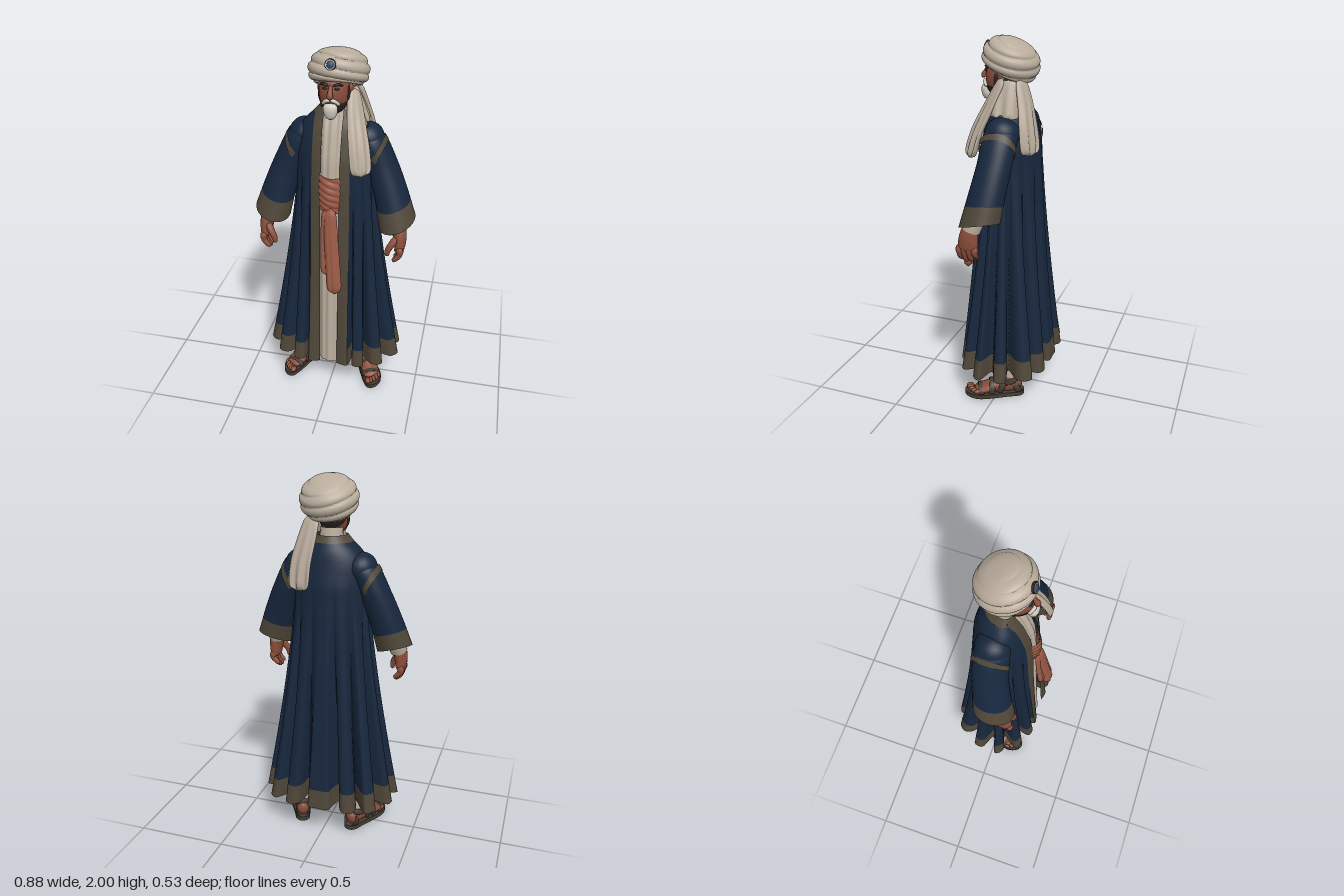
import * as THREE from 'three';
import { mergeVertices } from 'three/addons/utils/BufferGeometryUtils.js';

const mat = (name, color) => new THREE.MeshStandardMaterial({ name, color, side: THREE.DoubleSide });
const V = (x, y, z) => new THREE.Vector3(x, y, z);
const lerp = THREE.MathUtils.lerp;

// Smooth surface from a function of (u, v), both 0..1
function grid(fn, nu, nv) {
  const pos = [], idx = [];
  for (let j = 0; j <= nv; j++) for (let i = 0; i <= nu; i++) pos.push(...fn(i / nu, j / nv).toArray());
  for (let j = 0; j < nv; j++) for (let i = 0; i < nu; i++) {
    const a = j * (nu + 1) + i, b = a + nu + 1;
    idx.push(a, a + 1, b, a + 1, b + 1, b);
  }
  let g = new THREE.BufferGeometry();
  g.setAttribute('position', new THREE.Float32BufferAttribute(pos, 3));
  g.setIndex(idx);
  g = mergeVertices(g, 1e-5);
  g.computeVertexNormals();
  return g;
}

// Oval tube through points [x, y, z, r1, r2]; r2 lies along ref, r1 across it; slant lowers the front of the far end
function loft(pts, { ref = V(0, 0, 1), v0 = 0, v1 = 1, rip = 0, slant = 0, cap = true, nu = 20, nv = 20 } = {}) {
  const path = new THREE.CatmullRomCurve3(pts.map(p => V(p[0], p[1], p[2])));
  const radii = new THREE.CatmullRomCurve3(pts.map(p => V(p[3], p[4] ?? p[3], 0)));
  return grid((u, s) => {
    const v = lerp(v0, v1, s), T = path.getTangent(v), r = radii.getPoint(v), th = u * Math.PI * 2;
    const n1 = ref.clone().cross(T).normalize(), n2 = T.clone().cross(n1);
    const k = cap ? Math.sqrt(Math.max(0, 1 - Math.abs(2 * v - 1) ** 12)) : 1;
    const c = Math.cos(th);
    const off = n1.multiplyScalar(c * r.x * k)
      .addScaledVector(n2, (Math.sin(th) * r.y + rip * v * r.x * Math.sin(8 * c)) * k);
    off.y -= slant * v * v * off.z;
    return path.getPoint(v).add(off);
  }, nu, nv);
}

// Half outline of the pleated hem [x, z], from the front opening to the middle of the back
const hemPoints = [
  [.05, .212], [.08, .222], [.115, .222], [.13, .13], [.143, .212], [.17, .224], [.205, .21], [.192, .12],
  [.245, .175], [.285, .178], [.312, .155], [.26, .065], [.35, .085], [.387, .04], [.28, 0], [.375, -.05],
  [.365, -.105], [.235, -.08], [.305, -.155], [.31, -.2], [.27, -.235], [.235, -.2], [.18, -.12],
  [.205, -.21], [.195, -.257], [.145, -.268], [.115, -.23], [.1, -.135], [.068, -.225], [.06, -.266], [0, -.27]];
const hem = new THREE.CatmullRomCurve3(hemPoints.map(([x, z]) => V(x, 0, z)));
const EDGE = 1 - 2 / (hemPoints.length - 1);

// Torso ovals: height, half width, front depth, back depth
const rows = [[.19, .195, .15, .175], [1.3, .195, .15, .175], [1.45, .205, .138, .17], [1.55, .2, .11, .15],
  [1.62, .165, .088, .135], [1.66, .12, .065, .115], [1.7, .085, .05, .09]];
function oval(y) {
  let i = 0;
  while (i < rows.length - 2 && y > rows[i + 1][0]) i++;
  const t = (y - rows[i][0]) / (rows[i + 1][0] - rows[i][0]);
  return rows[i].map((r, j) => lerp(r, rows[i + 1][j], t));
}
const flare = y => Math.max(0, (1.5 - y) / 1.31) ** 1.35;

// Coat angle from the opening to the back: the edge band keeps its width at every height
function coatAngle(k, rx) {
  const p0 = Math.asin(.05 / rx), p1 = Math.asin(Math.min(.9, .1 / rx)), e = 1 - EDGE;
  return k < e ? lerp(p0, p1, k / e) : lerp(p1, Math.PI, (k - e) / EDGE);
}

// Coat cloth between a0..a1 (-1 and 1 are the opening edges, 0 the back) and y0..y1
function coat(a0, a1, y0, y1, nu, nv) {
  return grid((u, v) => {
    const a = lerp(a0, a1, u), y = lerp(y0, y1, v), k = 1 - Math.abs(a);
    const [, rx, zf, zb] = oval(y), h = hem.getPoint(k), f = flare(y);
    const phi = coatAngle(k, rx), c = Math.cos(phi);
    const x = lerp(rx * Math.sin(phi), h.x, f), z = lerp(c * (c > 0 ? zf : zb), h.z, f);
    return V(Math.sign(a) * x, y, z);
  }, nu, nv);
}

export function createModel() {
  const root = new THREE.Group();
  const navy = mat('navy cloth', 0x17273d), trim = mat('brown trim', 0x4f4638), cream = mat('cream cloth', 0xb9ac9c),
    skin = mat('skin', 0x8b4d3a), sashM = mat('terracotta cloth', 0x9a5945), leather = mat('dark leather', 0x423c33),
    hair = mat('dark hair', 0x2c2622), white = mat('white hair', 0xcfc8bf), blue = mat('blue gem', 0x2c4a70);
  const add = (name, geo, m, parent = root) => {
    const o = new THREE.Mesh(geo, m);
    o.name = name;
    parent.add(o);
    return o;
  };
  const ball = (name, m, [x, y, z], [a, b, c], parent = root) => {
    const o = add(name, new THREE.SphereGeometry(1, 24, 16), m, parent);
    o.position.set(x, y, z);
    o.scale.set(a, b, c);
    return o;
  };

  // Long open coat with brown edges
  add('coatBody', coat(-EDGE, EDGE, .3, 1.665, 280, 48), navy);
  add('coatHem', coat(-EDGE, EDGE, .19, .3, 280, 4), trim);
  add('coatCollar', coat(-EDGE, EDGE, 1.665, 1.7, 60, 4), trim);
  add('coatEdgeLeft', coat(EDGE, 1, .19, 1.7, 8, 50), trim);
  add('coatEdgeRight', coat(-1, -EDGE, .19, 1.7, 8, 50), trim);

  // Inner robe seen in the opening, with a standing collar
  add('innerRobe', grid((u, v) => {
    const y = lerp(.185, 1.715, v), a = lerp(-.85, .85, u), [, rx, zf] = oval(Math.min(y, 1.7)), f = flare(y);
    const fold = .004 * Math.cos(a * 16);
    return V(Math.sin(a) * Math.min(.105, rx * .9), y, Math.cos(a) * (lerp(zf, .208, f) - .008 + fold));
  }, 40, 40), cream);
  add('robeCollar', loft([[0, 1.62, -.02, .066], [0, 1.68, -.016, .063], [0, 1.735, -.012, .058]], { cap: false }), cream);

  // Sash wrapped round the waist in slanting pleats
  add('sashWrap', grid((u, v) => {
    const a = lerp(-1, 1, u), y = lerp(1.165, 1.37, v) - .008 * a;
    const pleat = .006 * Math.abs(Math.sin(Math.PI * (5.5 * v + .5 * a)));
    const bulge = .012 * Math.sin(Math.PI * v);
    return V(.07 * a, y, .163 + bulge + pleat - .045 * a * a);
  }, 24, 60), sashM);

  // Hanging sash ends
  add('sashLongEnd', loft([[.008, 1.2, .168, .03, .016], [.015, 1.05, .19, .038, .018], [.03, .88, .212, .04, .022],
    [.044, .7, .235, .045, .028]], { rip: .08, nu: 40 }), sashM);
  add('sashShortEnd', loft([[-.012, 1.19, .168, .028, .014], [-.014, 1, .184, .029, .015], [-.006, .8, .207, .034, .018]],
    { rip: .1, nu: 40 }), sashM);

  // Arms, hands, legs and feet on both sides
  for (const s of [1, -1]) {
    const side = new THREE.Group();
    side.name = s > 0 ? 'leftLimbs' : 'rightLimbs';
    side.scale.x = s;
    root.add(side);
    const arm = [[.135, 1.565, -.025, .052, .075], [.19, 1.505, -.02, .076, .092], [.245, 1.39, -.012, .08, .092],
      [.3, 1.24, .01, .088, .1], [.343, 1.09, .036, .099, .112]];
    add('sleeve', loft(arm, { v1: .84, slant: .38, cap: false, nu: 32 }), navy, side);
    add('sleeveCuff', loft(arm, { v0: .84, slant: .38, cap: false, nu: 32, nv: 6 }), trim, side);
    ball('shoulder', navy, [.165, 1.535, -.023], [.085, .08, .09], side);

    // Flat band round the armhole
    add('shoulderBand', grid((u, v) => {
      const th = u * Math.PI * 2, w = (v - .5) * .034, c = Math.cos(th);
      return V(.222 + .04 * c + w * .5, 1.463 + .077 * c - w * .86, -.018 + .098 * Math.sin(th));
    }, 40, 3), trim, side);
    add('shirtCuff', loft([[.32, 1.2, .04, .05], [.347, 1.11, .06, .05], [.358, 1.06, .075, .047]], { cap: false }), cream, side);
    add('palm', loft([[.354, 1.1, .07, .034, .038], [.366, 1.04, .084, .037, .05], [.37, .98, .09, .031, .055],
      [.366, .95, .092, .022, .05]]), skin, side);
    for (let i = 0; i < 4; i++) {
      const z = .135 - i * .028, d = [.01, 0, .004, .02][i];
      add('finger', loft([[.372, .99, z, .016], [.377, .945, z, .016], [.364, .91 + d, z, .015], [.338, .885 + d, z, .011]],
        { nu: 10, nv: 14 }), skin, side);
    }
    add('thumb', loft([[.357, 1.035, .112, .02], [.333, 1, .133, .019], [.314, .965, .14, .016], [.309, .925, .138, .011]],
      { nu: 12, nv: 14 }), skin, side);

    // Trouser leg
    add('trouserLeg', loft([[.165, .115, -.05, .047, .055], [.16, .25, -.045, .05, .058], [.13, .65, -.02, .07]],
      { cap: false }), cream, side);

    // Foot in a strapped sandal, turned out
    const foot = new THREE.Group();
    foot.name = 'foot';
    foot.position.set(.174, 0, -.052);
    foot.rotation.y = .42;
    side.add(foot);
    const sole = new THREE.Shape();
    sole.moveTo(-.042, .05);
    sole.bezierCurveTo(-.042, .115, .042, .115, .044, .05);
    sole.bezierCurveTo(.046, -.03, .066, -.09, .062, -.155);
    sole.bezierCurveTo(.058, -.21, 0, -.262, -.04, -.235);
    sole.bezierCurveTo(-.062, -.21, -.054, -.05, -.042, .05);
    const soleGeo = new THREE.ExtrudeGeometry(sole, { depth: .025, bevelEnabled: false, curveSegments: 12 });
    add('sandalSole', soleGeo.rotateX(-Math.PI / 2), leather, foot);
    add('footBody', loft([[0, .05, -.085, .033, .035], [0, .068, -.02, .039, .052], [.002, .06, .06, .044, .042],
      [.002, .044, .13, .051, .027], [.002, .036, .19, .046, .016]], { ref: V(0, 1, 0) }), skin, foot);
    ball('ankle', skin, [0, .105, -.005], [.042, .05, .046], foot);
    for (let i = 0; i < 5; i++) {
      ball('toe', skin, [-.034 + i * .019, .037, .212 - i * i * .0025], [i ? .011 : .016, .014, .022], foot);
    }
    const strap = (name, y, z, rx, ry, tilt) => {
      const o = add(name, new THREE.TorusGeometry(1, .1, 8, 28), leather, foot);
      o.position.set(0, y, z);
      o.scale.set(rx, ry, .18);
      o.rotation.x = tilt;
    };
    strap('toeStrap', .034, .15, .05, .031, 0);
    strap('archStrap', .047, .09, .05, .045, -.15);
    strap('instepStrap', .06, .035, .045, .058, -.4);
    strap('ankleStrap', .095, -.01, .045, .053, -1.35);
    strap('heelStrap', .05, -.055, .04, .044, .5);
  }

  // Head and face
  const head = new THREE.Group();
  head.name = 'head';
  root.add(head);
  add('neck', loft([[0, 1.6, -.02, .055], [0, 1.68, -.005, .052], [0, 1.76, .01, .052]], { cap: false }), skin, head);
  ball('skull', skin, [0, 1.79, .03], [.077, .112, .094], head);
  ball('backHair', hair, [0, 1.8, -.002], [.076, .085, .078], head);
  const jaw = add('jawBeard', new THREE.SphereGeometry(1, 28, 10, 0, Math.PI, Math.PI * .61, Math.PI * .39), hair, head);
  jaw.position.set(0, 1.79, .03);
  jaw.scale.set(.081, .116, .099);
  add('nose', loft([[0, 1.845, .113, .009], [0, 1.82, .126, .011], [0, 1.795, .137, .016], [0, 1.782, .132, .013]],
    { nu: 12, nv: 12 }), skin, head);
  add('goatee', loft([[0, 1.752, .114, .026, .014], [0, 1.732, .125, .037, .024], [0, 1.705, .121, .034, .027],
    [0, 1.673, .112, .02]]), white, head);
  for (const s of [1, -1]) {
    ball('ear', skin, [s * .08, 1.8, .012], [.011, .028, .02], head);
    ball('sideburn', hair, [s * .072, 1.78, .04], [.009, .042, .018], head);
    ball('eye', hair, [s * .03, 1.826, .112], [.014, .006, .008], head);
    add('eyebrow', loft([[s * .012, 1.841, .12, .006], [s * .034, 1.848, .113, .007], [s * .058, 1.838, .093, .004]],
      { ref: V(0, 1, 0), nu: 8, nv: 10 }), hair, head);
    add('moustache', loft([[0, 1.771, .129, .008], [s * .022, 1.767, .125, .01], [s * .045, 1.742, .107, .008]],
      { ref: V(0, 1, 0), nu: 10, nv: 10 }), white, head);
  }

  // Turban of spiralling folds, tilted back
  const profile = new THREE.CatmullRomCurve3([[.08, -.045], [.102, -.062], [.136, -.045], [.151, -.005], [.145, .043],
    [.118, .083], [.066, .11], [0, .116]].map(([r, y]) => V(r, y, 0)));
  const turban = add('turban', grid((u, v) => {
    const th = u * Math.PI * 2, p = profile.getPoint(v);
    const fold = Math.abs(Math.sin(Math.PI * (6 * v + .7 * Math.sin(th + .6))));
    const k = .935 + .09 * Math.sqrt(fold) * Math.min(1, (1 - v) * 4);
    return V(p.x * k * Math.sin(th), p.y * (v > .6 ? 1 : k), p.x * k * Math.cos(th));
  }, 72, 84), cream);
  turban.position.set(.012, 1.873, -.014);
  turban.rotation.set(-.43, 0, .04);

  // Round jewel on the turban
  const jewel = new THREE.Group();
  jewel.name = 'turbanJewel';
  jewel.position.set(0, 1.945, .115);
  jewel.rotation.x = -.3;
  root.add(jewel);
  const disc = (name, r, h, m) => add(name, new THREE.CylinderGeometry(r, r, h, 24).rotateX(Math.PI / 2), m, jewel);
  disc('jewelRim', .028, .02, hair);
  disc('jewelRing', .023, .025, white);
  ball('jewelStone', blue, [0, 0, .009], [.019, .019, .01], jewel);

  // Scarf ends falling from the turban over the left shoulder
  const cloth = { rip: .13, nu: 56, nv: 28 };
  add('scarfFront', loft([[.09, 1.8, .0, .035, .016], [.115, 1.67, .06, .05, .018], [.145, 1.53, .122, .058, .018],
    [.167, 1.39, .16, .06, .018]], { ...cloth, ref: V(.65, .3, .7) }), cream);
  add('scarfSide', loft([[.085, 1.79, -.03, .05, .02], [.118, 1.7, -.03, .075, .02], [.155, 1.6, -.03, .085, .014]],
    { ...cloth, rip: .09, ref: V(1, .3, 0) }), cream);
  add('scarfBack', loft([[.075, 1.8, -.09, .045, .018], [.1, 1.68, -.125, .058, .02], [.125, 1.56, -.15, .068, .02],
    [.135, 1.42, -.168, .074, .018]], { ...cloth, ref: V(.3, .2, -1) }), cream);
  return root;
}
